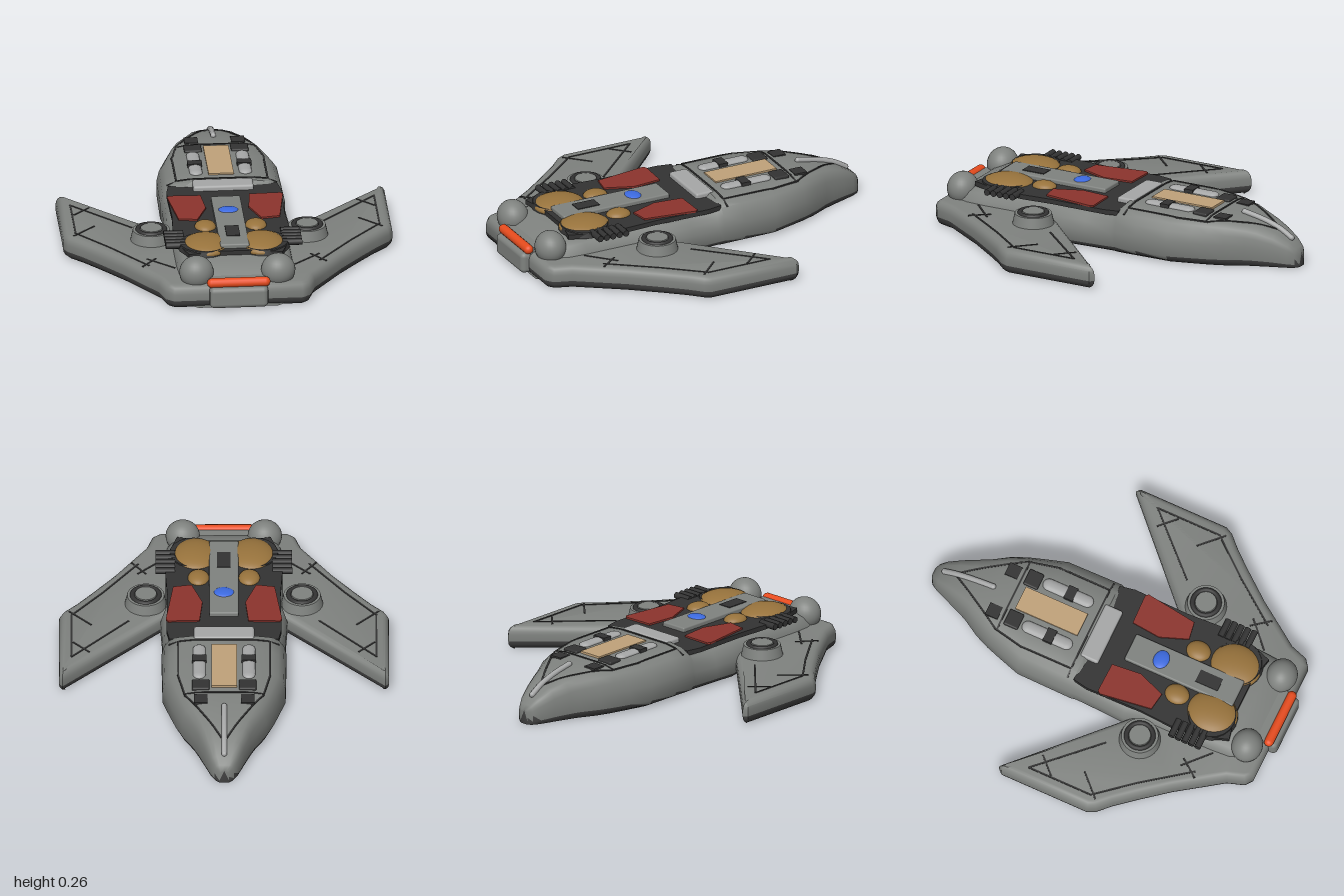
import * as THREE from 'three';
import { mergeVertices, toCreasedNormals } from 'three/addons/utils/BufferGeometryUtils.js';
import { RoundedBoxGeometry } from 'three/addons/geometries/RoundedBoxGeometry.js';

const paint = (name, color) => {
  const m = new THREE.MeshStandardMaterial({ color });
  m.name = name;
  return m;
};

// Hull stations: z, half width, top height
const STATIONS = [
  [-1, 0.025, 0.075], [-0.985, 0.05, 0.1], [-0.95, 0.073, 0.13], [-0.88, 0.103, 0.172], [-0.8, 0.137, 0.203],
  [-0.75, 0.16, 0.215], [-0.66, 0.215, 0.232], [-0.58, 0.25, 0.238], [-0.5, 0.277, 0.24], [-0.38, 0.315, 0.243],
  [-0.2, 0.318, 0.243], [-0.08, 0.32, 0.243], [-0.05, 0.313, 0.215], [0.1, 0.318, 0.205], [0.22, 0.325, 0.205],
  [0.3, 0.305, 0.205], [0.7, 0.305, 0.205], [0.8, 0.3, 0.195], [0.87, 0.28, 0.165], [0.95, 0.24, 0.11],
];
// Upper cross-section: fraction of half width, fraction of height
const SECTION = [
  [0, 1], [0.5, 1], [0.75, 0.96], [0.88, 0.87], [0.96, 0.72], [1, 0.5], [1, 0.17], [0.95, 0.07], [0.85, 0],
];

const lerp = THREE.MathUtils.lerp;
function hullY(x, z) {
  let i = 1;
  while (i < STATIONS.length - 1 && STATIONS[i][0] < z) i++;
  const [a, b] = [STATIONS[i - 1], STATIONS[i]];
  const t = (z - a[0]) / (b[0] - a[0]);
  const f = Math.abs(x) / lerp(a[1], b[1], t);
  let k = 1;
  while (k < 5 && SECTION[k][0] < f) k++;
  const [p, q] = [SECTION[k - 1], SECTION[k]];
  return lerp(a[2], b[2], t) * lerp(p[1], q[1], Math.min(1, (f - p[0]) / (q[0] - p[0])));
}

// Material 1 for faces whose centre lies below the limit, material 0 above
function splitUnderside(g, limit) {
  const p = g.attributes.position;
  g.clearGroups();
  for (let i = 0; i < p.count; i += 3) {
    const m = (p.getY(i) + p.getY(i + 1) + p.getY(i + 2)) / 3 < limit ? 1 : 0;
    const run = g.groups[g.groups.length - 1];
    if (run && run.materialIndex === m) run.count += 3;
    else g.addGroup(i, 3, m);
  }
  return g;
}

function hullGeometry() {
  const loop = [...SECTION, ...SECTION.slice(1, -1).reverse().map(([x, y]) => [-x, y])];
  loop.splice(SECTION.length, 0, [-0.85, 0]);
  const n = loop.length, pos = [], idx = [];
  for (const [z, w, h] of STATIONS) for (const [fx, fy] of loop) pos.push(fx * w, fy * h, z);
  for (let s = 0; s < STATIONS.length - 1; s++) {
    for (let i = 0; i < n; i++) {
      const a = s * n + i, b = s * n + (i + 1) % n;
      idx.push(a, a + n, b, b, a + n, b + n);
    }
  }
  const last = (STATIONS.length - 1) * n;
  for (let i = 1; i < n - 1; i++) {
    idx.push(0, i, i + 1);
    idx.push(last, last + i + 1, last + i);
  }
  const g = new THREE.BufferGeometry();
  g.setAttribute('position', new THREE.Float32BufferAttribute(pos, 3));
  g.setIndex(idx);
  return toCreasedNormals(g, 0.75);
}

// Plan outline (x, z) extruded downward from a top height
function plate(points, top, thick, bevel = 0, bevelY = bevel) {
  const shape = new THREE.Shape(points.map(([x, z]) => new THREE.Vector2(x, z)));
  const g = new THREE.ExtrudeGeometry(shape, {
    depth: thick - 2 * bevelY, bevelEnabled: bevel > 0, bevelSize: bevel,
    bevelThickness: bevelY, bevelOffset: -bevel, bevelSegments: 4,
  });
  g.rotateX(Math.PI / 2).translate(0, top - bevelY, 0);
  if (!bevel) return g;
  g.deleteAttribute('normal');
  g.deleteAttribute('uv');
  return toCreasedNormals(mergeVertices(g, 1e-4), 0.7);
}
const mirrored = (half) => [...half, ...half.slice().reverse().map(([x, z]) => [-x, z])];

export function createModel() {
  const group = new THREE.Group();
  const grey = paint('hull grey', 0x7f827f);
  const under = paint('underside', 0x424242);
  const dark = paint('dark trim', 0x333333);
  const light = paint('light grey', 0xa6a7a7);
  const red = paint('red panel', 0x8c342d);
  const gold = paint('bronze', 0x98733c);
  const tan = paint('tan panel', 0xc0a27a);
  const orange = paint('engine glow', 0xe84c1e);
  const blue = paint('blue dome', 0x3c6ae0);

  const add = (name, geo, mat, x = 0, y = 0, z = 0) => {
    const m = new THREE.Mesh(geo, mat);
    m.name = name;
    m.position.set(x, y, z);
    group.add(m);
    return m;
  };
  const box = (name, mat, w, h, d, x, y, z) => add(name, new THREE.BoxGeometry(w, h, d), mat, x, y, z);
  const dome = (name, mat, rx, ry, rz, x, y, z) =>
    add(name, new THREE.SphereGeometry(1, 28, 18).scale(rx, ry, rz), mat, x, y, z);
  // Engraved line along (x, z) points, laid at heightAt(x, z)
  const seam = (name, pts, heightAt) => {
    for (let i = 0; i < pts.length - 1; i++) {
      const [a, b] = [pts[i], pts[i + 1]];
      const steps = Math.ceil(Math.hypot(b[0] - a[0], b[1] - a[1]) / 0.06);
      const at = (t) => {
        const x = lerp(a[0], b[0], t), z = lerp(a[1], b[1], t);
        return new THREE.Vector3(x, heightAt(x, z), z);
      };
      for (let s = 0; s < steps; s++) {
        const p = at(s / steps), q = at((s + 1) / steps);
        const m = add(name, new THREE.BoxGeometry(0.009, 0.008, p.distanceTo(q) + 0.006), dark);
        m.position.copy(p).add(q).multiplyScalar(0.5);
        m.lookAt(q);
      }
    }
  };

  // Main bodies
  add('hull', splitUnderside(hullGeometry(), 0.033), [grey, under]);
  add('wings', splitUnderside(plate(mirrored([
    [0.29, 0.27], [0.826, -0.245], [0.845, -0.225], [0.845, 0.26], [0.825, 0.3], [0.76, 0.365], [0.68, 0.46],
    [0.56, 0.61], [0.47, 0.74], [0.4, 0.84], [0.37, 0.93], [0.33, 0.96],
  ]), 0.125, 0.125, 0.035, 0.045), 0.04), [grey, under]);

  // Engine deck
  add('engineDeck', plate(mirrored([
    [0.28, -0.08], [0.295, 0], [0.29, 0.3], [0.3, 0.48], [0.28, 0.66], [0.24, 0.78], [0.1, 0.75],
  ]), 0.224, 0.025), dark);
  add('spine', new RoundedBoxGeometry(0.15, 0.05, 0.61, 2, 0.008), grey, 0, 0.222, 0.415);
  box('spineHatch', dark, 0.07, 0.008, 0.125, 0, 0.247, 0.555);
  dome('spineDome', blue, 0.052, 0.014, 0.042, 0, 0.244, 0.285);
  add('deckBar', new RoundedBoxGeometry(0.31, 0.04, 0.1, 2, 0.012), light, 0, 0.23, -0.053);

  // Stern
  const glow = add('engineGlow', new THREE.CapsuleGeometry(0.025, 0.275, 8, 16), orange, 0, 0.14, 0.957);
  glow.rotation.z = Math.PI / 2;
  add('sternBlock', new RoundedBoxGeometry(0.3, 0.113, 0.2, 4, 0.025), grey, 0, 0.066, 0.9);
  box('engineMount', grey, 0.3, 0.06, 0.12, 0, 0.12, 0.89);

  // Nose details
  box('cockpitPanel', tan, 0.13, 0.02, 0.35, 0, 0.241, -0.335);
  const rodPath = [-0.94, -0.88, -0.81, -0.74, -0.665].map((z) => new THREE.Vector3(0, hullY(0, z) + 0.006, z));
  add('noseRod', new THREE.TubeGeometry(new THREE.CatmullRomCurve3(rodPath), 20, 0.015, 10), light);
  for (const p of [rodPath[0], rodPath[4]]) dome('noseRodEnd', light, 0.015, 0.015, 0.015, p.x, p.y, p.z);
  seam('noseSeam', [[-0.235, -0.12], [-0.235, -0.4], [-0.2, -0.56], [0, -0.88], [0.2, -0.56], [0.235, -0.4], [0.235, -0.12]], hullY);
  seam('crossSeam', [[-0.2, -0.55], [0.2, -0.55]], hullY);
  seam('rearSeam', [[-0.28, -0.115], [0.28, -0.115]], hullY);

  for (const s of [1, -1]) {
    // Canopy tubes and vents
    const tube = add('canopyTube', new THREE.CapsuleGeometry(0.033, 0.215, 6, 14).scale(1, 1, 0.45), light, s * 0.127, 0.244, -0.3);
    tube.rotation.x = Math.PI / 2;
    box('tubeBand', dark, 0.075, 0.025, 0.05, s * 0.127, 0.249, -0.285);
    add('vent', new RoundedBoxGeometry(0.09, 0.03, 0.08, 2, 0.008), dark, s * 0.12, 0.236, -0.492);
    box('frontVent', dark, 0.07, 0.025, 0.07, s * 0.12, 0.229, -0.605);

    // Deck equipment
    add('redPanel', plate([
      [0.125, 0.065], [0.285, 0.06], [0.298, 0.075], [0.26, 0.35], [0.165, 0.365], [0.11, 0.22],
    ].map(([x, z]) => [s * x, z]), 0.233, 0.009), red);
    add('tankCollar', new THREE.CylinderGeometry(0.122, 0.132, 0.03, 20), dark, s * 0.155, 0.215, 0.645);
    dome('tank', gold, 0.12, 0.045, 0.135, s * 0.142, 0.211, 0.638);
    dome('smallTank', gold, 0.055, 0.03, 0.065, s * 0.13, 0.222, 0.435);
    for (let i = 0; i < 5; i++) {
      const fin = add('coolingFin', new THREE.CylinderGeometry(0.017, 0.017, 0.1, 10), dark, s * 0.3, 0.219, 0.502 + i * 0.037);
      fin.rotation.z = Math.PI / 2;
    }
    dome('sternBall', grey, 0.088, 0.086, 0.08, s * 0.21, 0.165, 0.868);

    // Wing turret
    add('turretBase', new THREE.CylinderGeometry(0.095, 0.11, 0.07, 32), grey, s * 0.4, 0.145, 0.35);
    add('turretCap', new THREE.CylinderGeometry(0.055, 0.06, 0.02, 32), grey, s * 0.4, 0.18, 0.35);
    const ring = add('turretRing', new THREE.TorusGeometry(0.069, 0.013, 10, 32), dark, s * 0.4, 0.178, 0.35);
    ring.rotation.x = Math.PI / 2;

    // Wing seams
    for (const line of [
      [[0.78, -0.1], [0.78, 0.25], [0.62, 0.44], [0.44, 0.68]],
      [[0.78, -0.1], [0.49, 0.2]],
      [[0.69, -0.06], [0.77, 0.02]],
      [[0.68, 0.17], [0.79, 0.28]],
      [[0.4, 0.6], [0.47, 0.69]],
      [[0.31, 0.72], [0.44, 0.6]],
    ]) seam('wingSeam', line.map(([x, z]) => [s * x, z]), () => 0.124);
  }
  return group;
}
